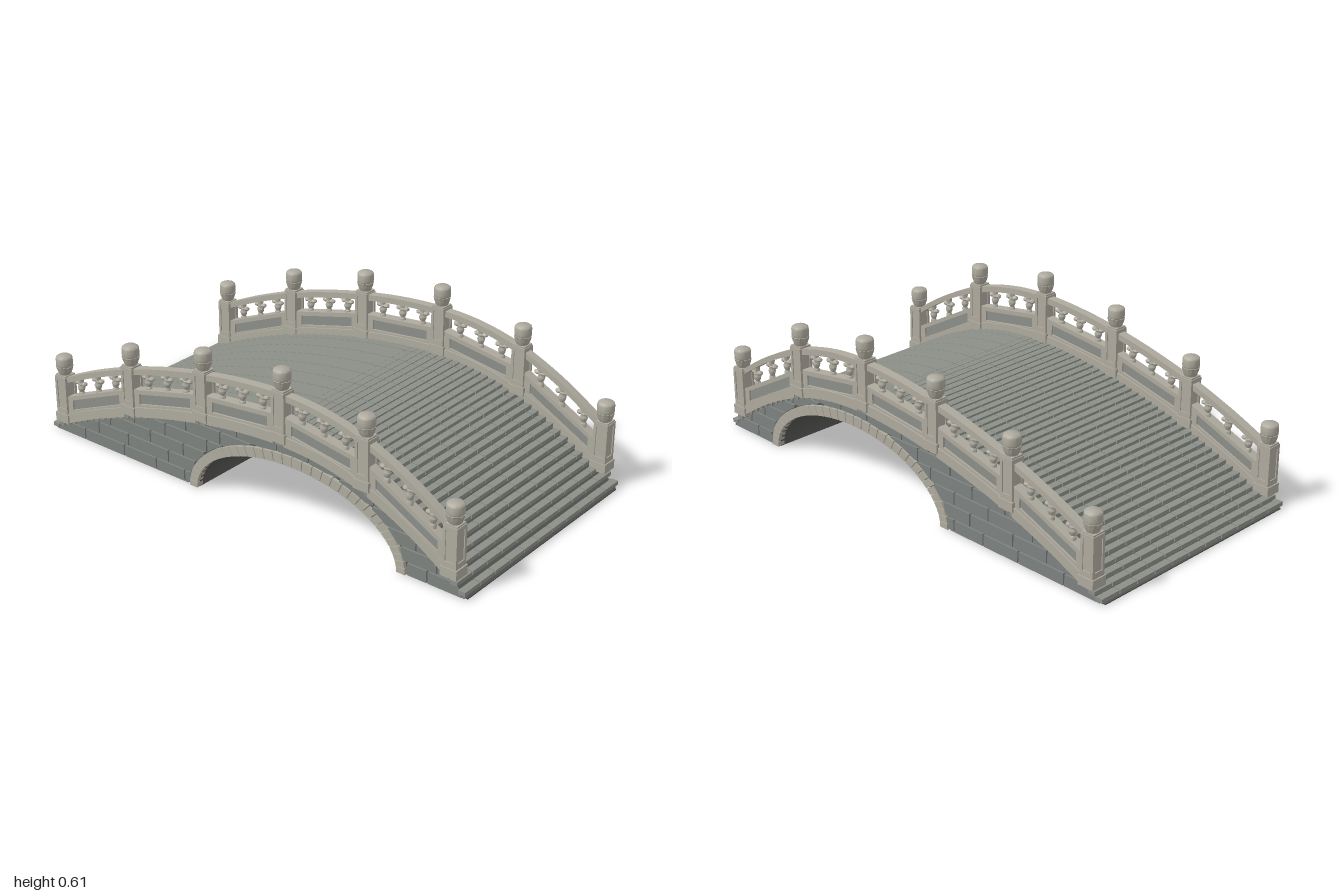
import * as THREE from 'three';
import { mergeGeometries, toCreasedNormals } from 'three/addons/utils/BufferGeometryUtils.js';

const V2 = (x, y) => new THREE.Vector2(x, y);
const mat = (color) => new THREE.MeshStandardMaterial({ color, roughness: 0.9 });
const pale = mat(0xaeaa9e), deckStone = mat(0x8c8f88), wallStone = mat(0x7d827f), mortar = mat(0x555653);

// Height of the walkway along z
const PROFILE = [[-1, 0.018], [-0.93, 0.05], [-0.75, 0.13], [-0.558, 0.2], [-0.37, 0.253], [-0.185, 0.293], [0, 0.32],
  [0.19, 0.331], [0.375, 0.318], [0.562, 0.272], [0.75, 0.187], [0.935, 0.07], [1, 0.018]];
function deckY(z) {
  let i = 0;
  while (i < PROFILE.length - 2 && z > PROFILE[i + 1][0]) i++;
  const slope = (k) => {
    const a = PROFILE[Math.max(k - 1, 0)], b = PROFILE[Math.min(k + 1, PROFILE.length - 1)];
    return (b[1] - a[1]) / (b[0] - a[0]);
  };
  const [z0, y0] = PROFILE[i], [z1, y1] = PROFILE[i + 1];
  const h = z1 - z0, t = (z - z0) / h, t2 = t * t, t3 = t2 * t;
  return (2 * t3 - 3 * t2 + 1) * y0 + (t3 - 2 * t2 + t) * h * slope(i) + (3 * t2 - 2 * t3) * y1 + (t3 - t2) * h * slope(i + 1);
}

// Elliptical arch opening
const ARCH = { z: 0.245, rz: 0.465, ry: 0.245, ringZ: 0.502, ringY: 0.285 };
const archPoint = (a, rz, ry) => V2(ARCH.z + Math.cos(a) * rz, Math.sin(a) * ry);
const ringTop = (z) => ARCH.ringY * Math.sqrt(Math.max(0, 1 - ((z - ARCH.z) / ARCH.ringZ) ** 2));

// Extrude a (z, y) outline across x, centred on cx
function across(points, width, cx = 0, hole) {
  const shape = new THREE.Shape(points);
  if (hole) shape.holes.push(new THREE.Path(hole));
  return new THREE.ExtrudeGeometry(shape, { depth: width, bevelEnabled: false })
    .rotateY(-Math.PI / 2).translate(width / 2 + cx, 0, 0);
}
// Strip following the walkway between two height offsets
function band(z0, z1, lo, hi, width, cx) {
  const bottom = [], top = [], n = 10;
  for (let i = 0; i <= n; i++) {
    const z = z0 + (z1 - z0) * i / n;
    bottom.push(V2(z, deckY(z) + lo));
    top.unshift(V2(z, deckY(z) + hi));
  }
  return across([...bottom, ...top], width, cx);
}
const box = (w, h, d, x, y, z) => new THREE.BoxGeometry(w, h, d).translate(x, y, z);
function add(group, name, parts, material, crease = 0.6) {
  const flat = parts.map((g) => (g.index ? g.toNonIndexed() : g));
  const mesh = new THREE.Mesh(toCreasedNormals(mergeGeometries(flat), crease), material);
  mesh.name = name;
  group.add(mesh);
}

function buildCore(group) {
  const points = [V2(-1, 0)];
  for (let i = 0; i <= 60; i++) {
    const z = -1 + i / 30;
    points.push(V2(z, Math.max(0.004, deckY(z) - 0.016)));
  }
  points.push(V2(1, 0));
  for (let i = 0; i <= 48; i++) points.push(archPoint(i / 48 * Math.PI, ARCH.rz, ARCH.ry));
  add(group, 'bridgeCore', [across(points, 0.96)], mortar);
}

function buildSteps(group) {
  const parts = [], rows = 60, pitch = 2 / rows;
  for (let r = 0; r < rows; r++) {
    const z = -1 + (r + 0.5) * pitch, y = deckY(z);
    for (let c = -5; c <= 5; c++) parts.push(box(0.086, 0.016, pitch - 0.004, c * 0.0903, y - 0.008, z));
  }
  add(group, 'stepSlabs', parts, deckStone);
}

function buildWalls(group) {
  const bricks = [], ring = [], rowH = 0.055, gap = 0.006;
  for (const side of [-1, 1]) {
    // Coursed blocks trimmed by the arch and the walkway
    for (let row = 0; row < 6; row++) {
      let z = -1 - (row % 2) * 0.1;
      for (let k = 0; z < 1; k++) {
        const len = 0.18 + 0.035 * Math.sin(row * 2.3 + k * 1.7);
        const a = Math.max(-0.995, z + gap / 2), b = Math.min(0.995, z + len - gap / 2);
        z += len;
        let top = [], bottom = [];
        const flush = () => {
          if (top.length > 1) bricks.push(across([...bottom, ...top.reverse()], 0.02, side * 0.48));
          top = [];
          bottom = [];
        };
        for (let i = 0; i <= 14 && b > a; i++) {
          const s = a + (b - a) * i / 14;
          const hi = Math.min((row + 1) * rowH - gap, deckY(s) - 0.019);
          const lo = Math.max(row * rowH, ringTop(s) + 0.003);
          if (hi - lo > 0.003) {
            bottom.push(V2(s, lo));
            top.push(V2(s, hi));
          } else flush();
        }
        flush();
      }
    }
    // Wedge stones around the arch
    const n = 34;
    for (let i = 0; i < n; i++) {
      const a0 = (i + 0.04) / n * Math.PI, a1 = (i + 0.96) / n * Math.PI;
      ring.push(across([archPoint(a0, ARCH.rz, ARCH.ry), archPoint(a0, ARCH.ringZ, ARCH.ringY),
        archPoint(a1, ARCH.ringZ, ARCH.ringY), archPoint(a1, ARCH.rz, ARCH.ry)], 0.03, side * 0.479));
    }
  }
  add(group, 'wallBlocks', bricks, wallStone);
  add(group, 'archStones', ring, pale);
}

// Fluted cup with a rounded drum on top
function capGeometry() {
  const cup = new THREE.LatheGeometry([V2(0.022, 0), V2(0.026, 0.008), V2(0.031, 0.022), V2(0.034, 0.036), V2(0.03, 0.038)], 48);
  const p = cup.attributes.position;
  for (let i = 0; i < p.count; i++) {
    const k = 1 - 0.08 * (0.5 + 0.5 * Math.cos(12 * Math.atan2(p.getX(i), p.getZ(i))));
    p.setXYZ(i, p.getX(i) * k, p.getY(i), p.getZ(i) * k);
  }
  const drum = new THREE.LatheGeometry([V2(0.028, 0.034), V2(0.032, 0.038), V2(0.033, 0.045), V2(0.033, 0.068),
    V2(0.031, 0.075), V2(0.026, 0.079), V2(0, 0.08)], 24);
  return mergeGeometries([cup.toNonIndexed(), drum.toNonIndexed()]);
}

function buildPost(z, x) {
  const post = new THREE.Group();
  post.name = 'railPost';
  const shaft = [box(0.066, 0.037, 0.068, 0, 0.0185, 0), box(0.05, 0.158, 0.05, 0, 0.116, 0),
    box(0.052, 0.007, 0.052, 0, 0.198, 0)];
  // Raised frames leave a sunk panel on every face
  for (let f = 0; f < 4; f++) {
    const turn = (g) => g.rotateY(f * Math.PI / 2);
    for (const s of [-1, 1]) {
      shaft.push(turn(box(0.011, 0.158, 0.004, s * 0.0235, 0.116, 0.027)));
      shaft.push(turn(box(0.058, s > 0 ? 0.016 : 0.022, 0.004, 0, s > 0 ? 0.187 : 0.048, 0.027)));
    }
  }
  add(post, 'postShaft', shaft, pale);
  add(post, 'postCap', [capGeometry().translate(0, 0.2, 0)], pale, 0.7);
  post.position.set(x, deckY(z), z);
  return post;
}

// Vase with a broad lobed shoulder
function balusterGeometry() {
  const vase = new THREE.LatheGeometry([V2(0.013, -0.004), V2(0.013, 0.008), V2(0.009, 0.013), V2(0.013, 0.02), V2(0.016, 0.03),
    V2(0.012, 0.037), V2(0.01, 0.046), V2(0.014, 0.07)], 12).scale(0.9, 1, 1);
  const parts = [vase.toNonIndexed()];
  for (const s of [-1, 0, 1]) {
    parts.push(new THREE.SphereGeometry(0.012, 10, 6).scale(1, 0.7, 1.1).translate(0, 0.044 + 0.003 * Math.abs(s), s * 0.017).toNonIndexed());
  }
  return mergeGeometries(parts);
}

function buildBay(z0, z1, x) {
  const bay = new THREE.Group();
  bay.name = 'railBay';
  const a = z0 + 0.025, b = z1 - 0.025, ya = deckY(a), yb = deckY(b);
  const at = (z, off) => V2(z, ya + (yb - ya) * (z - a) / (b - a) + off);
  const quad = (inset, lo, hi) => [at(a + inset, lo), at(b - inset, lo), at(b - inset, hi), at(a + inset, hi)];
  add(bay, 'curb', [band(a, b, -0.012, 0.028, 0.052, x)], pale);
  add(bay, 'panelFrame', [across(quad(0, 0.022, 0.102), 0.04, x, quad(0.03, 0.042, 0.084))], pale);
  add(bay, 'panelInset', [across(quad(0.02, 0.035, 0.09), 0.024, x)], deckStone);
  add(bay, 'handrail', [band(a, b, 0.162, 0.186, 0.036, x)], pale);
  const balusters = [0.2, 0.5, 0.8].map((t) => {
    const z = a + (b - a) * t, foot = at(z, 0.1).y;
    return balusterGeometry().scale(1, (deckY(z) + 0.165 - foot) / 0.066, 1).translate(x, foot, z);
  });
  add(bay, 'balusters', balusters, pale, 0.8);
  return bay;
}

export function createModel() {
  const model = new THREE.Group();
  model.name = 'archBridge';
  buildCore(model);
  buildSteps(model);
  buildWalls(model);
  const posts = [-0.932, -0.559, -0.186, 0.188, 0.561, 0.934];
  for (const side of [-1, 1]) {
    const rail = new THREE.Group();
    rail.name = side > 0 ? 'leftBalustrade' : 'rightBalustrade';
    posts.forEach((z, i) => {
      rail.add(buildPost(z, side * 0.474));
      if (i) rail.add(buildBay(posts[i - 1], z, side * 0.474));
    });
    model.add(rail);
  }
  return model;
}
